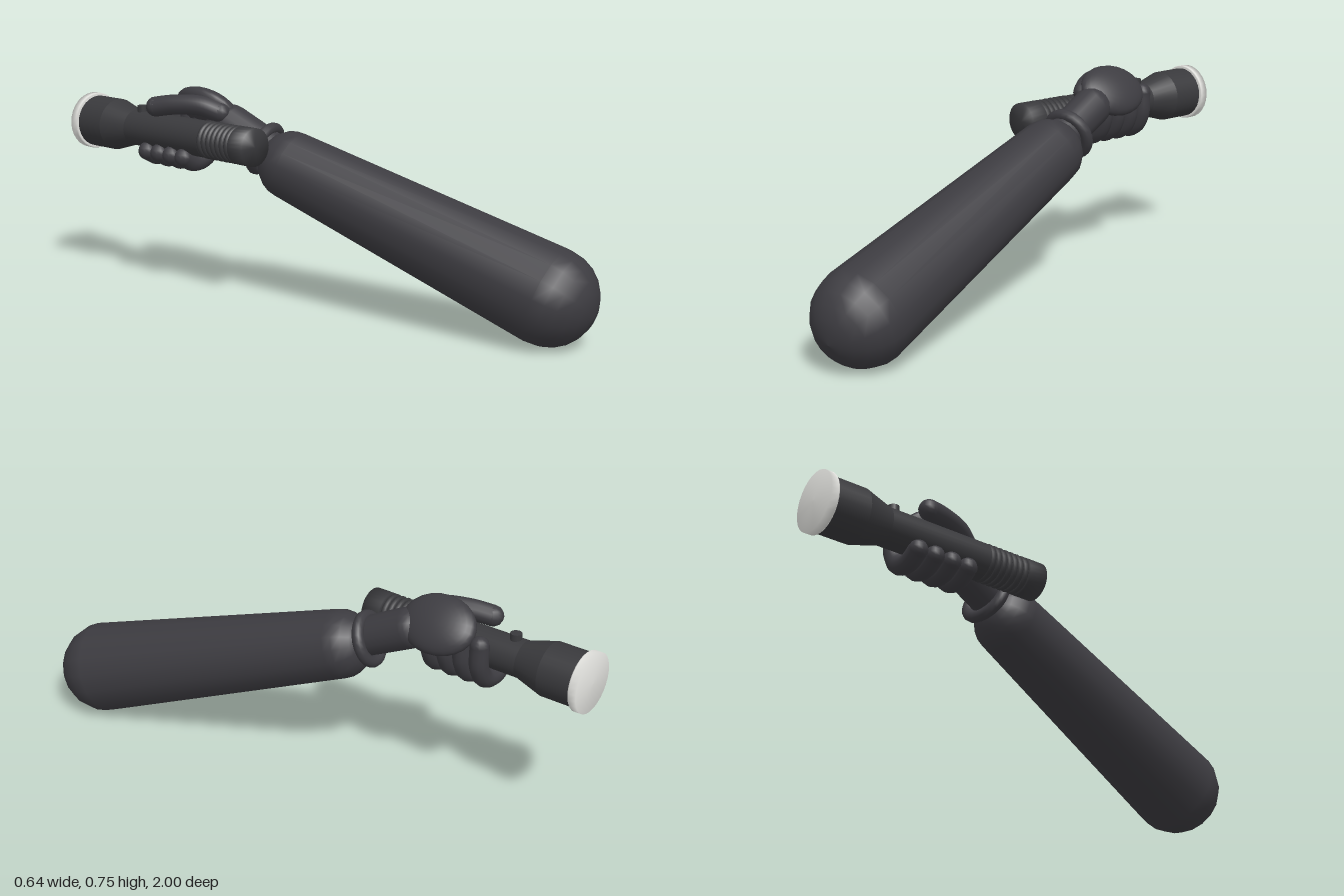
import * as THREE from 'three';

const sleeve = new THREE.MeshStandardMaterial({ color: 0x3d3c41 });
sleeve.name = 'charcoal sleeve and glove';
const casing = new THREE.MeshStandardMaterial({ color: 0x39393c });
casing.name = 'dark casing';
const lensWhite = new THREE.MeshStandardMaterial({ color: 0xe4e4e0 });
lensWhite.name = 'pale lens';

const V = (x, y, z) => new THREE.Vector3(x, y, z);
const UP = V(0, 1, 0);

function add(parent, name, geometry, material) {
  const mesh = new THREE.Mesh(geometry, material);
  mesh.name = name;
  parent.add(mesh);
  return mesh;
}

// Capsule from a to b with a different radius at each end
function limb(parent, name, a, b, ra, rb, sides = 16) {
  const length = a.distanceTo(b);
  const pts = [];
  for (let i = 0; i <= 6; i++) {
    const t = (i / 6) * Math.PI / 2;
    pts.push(new THREE.Vector2(ra * Math.sin(t), -ra * Math.cos(t)));
  }
  for (let i = 0; i <= 6; i++) {
    const t = (i / 6) * Math.PI / 2;
    pts.push(new THREE.Vector2(rb * Math.cos(t), length + rb * Math.sin(t)));
  }
  const mesh = add(parent, name, new THREE.LatheGeometry(pts, sides), sleeve);
  mesh.position.copy(a);
  mesh.quaternion.setFromUnitVectors(UP, b.clone().sub(a).normalize());
  return mesh;
}

// Bent finger: a tube with rounded ends
function finger(parent, name, points, radius) {
  const group = new THREE.Group();
  group.name = name;
  const curve = new THREE.CatmullRomCurve3(points);
  add(group, 'fingerTube', new THREE.TubeGeometry(curve, 20, radius, 12), sleeve);
  for (const p of [points[0], points[points.length - 1]]) {
    add(group, 'fingerEnd', new THREE.SphereGeometry(radius, 12, 8), sleeve).position.copy(p);
  }
  parent.add(group);
}

// Turned part along the torch axis; each pair is [radius, distance towards -z]
function turned(parent, name, pairs, material) {
  const pts = pairs.map(([r, d]) => new THREE.Vector2(r, d));
  const mesh = add(parent, name, new THREE.LatheGeometry(pts, 28), material);
  mesh.rotation.x = -Math.PI / 2;
  return mesh;
}

export function createModel() {
  const model = new THREE.Group();
  model.name = 'armWithTorch';

  // Padded forearm and wrist
  const elbow = V(0.153, 0.167, 0.833), cuffEnd = V(-0.05, 0.498, -0.115);
  limb(model, 'forearm', elbow, cuffEnd, 0.168, 0.122);
  limb(model, 'wrist', V(-0.07, 0.545, -0.2), V(-0.1, 0.622, -0.365), 0.068, 0.072);

  // Cuff ring around the wrist
  const cuff = add(model, 'cuff', new THREE.TorusGeometry(0.079, 0.021, 10, 24), sleeve);
  cuff.position.set(-0.07, 0.548, -0.228);
  cuff.quaternion.setFromUnitVectors(V(0, 0, 1), V(-0.2, 0.36, -0.92).normalize());

  // Flattened back of the hand
  const hand = add(model, 'handBack', new THREE.SphereGeometry(1, 24, 16), sleeve);
  hand.scale.set(0.105, 0.05, 0.14);
  hand.position.set(-0.108, 0.668, -0.478);
  hand.rotation.z = -0.84;

  // Four fingers wrapped beneath the torch
  for (let i = 0; i < 4; i++) {
    const z = -0.444 - i * 0.0645;
    finger(model, 'finger' + (i + 1), [
      V(-0.112, 0.64, z), V(-0.116, 0.56, z), V(-0.15, 0.507, z),
      V(-0.21, 0.491, z), V(-0.262, 0.515, z),
    ], 0.033);
  }

  // Thumb laid over the top
  finger(model, 'thumb', [
    V(-0.15, 0.67, -0.37), V(-0.185, 0.692, -0.43),
    V(-0.225, 0.692, -0.52), V(-0.254, 0.68, -0.595),
  ], 0.036);

  // Torch
  const torch = new THREE.Group();
  torch.name = 'torch';
  torch.position.set(-0.217, 0.583, 0);
  model.add(torch);
  turned(torch, 'tailCap', [[0, 0.13], [0.067, 0.131], [0.067, 0.2], [0.058, 0.202]], casing);
  turned(torch, 'barrel', [[0.058, 0.19], [0.058, 0.36]], casing);
  turned(torch, 'upperBarrel', [[0.055, 0.36], [0.065, 0.361], [0.065, 0.75]], casing);
  turned(torch, 'headCone', [[0.065, 0.745], [0.094, 0.845]], casing);
  turned(torch, 'head', [[0.094, 0.845], [0.094, 0.97]], casing);
  turned(torch, 'lens', [[0, 0.965], [0.1, 0.965], [0.104, 0.97], [0.104, 0.997], [0, 1]], lensWhite);

  // Grip rings
  for (let i = 0; i < 7; i++) {
    const ring = add(torch, 'gripRing', new THREE.TorusGeometry(0.057, 0.01, 8, 28), casing);
    ring.position.z = -0.214 - i * 0.0225;
  }

  // Switch button
  const button = add(torch, 'button', new THREE.CylinderGeometry(0.02, 0.02, 0.03, 16), casing);
  button.position.set(0, 0.07, -0.708);

  return model;
}
